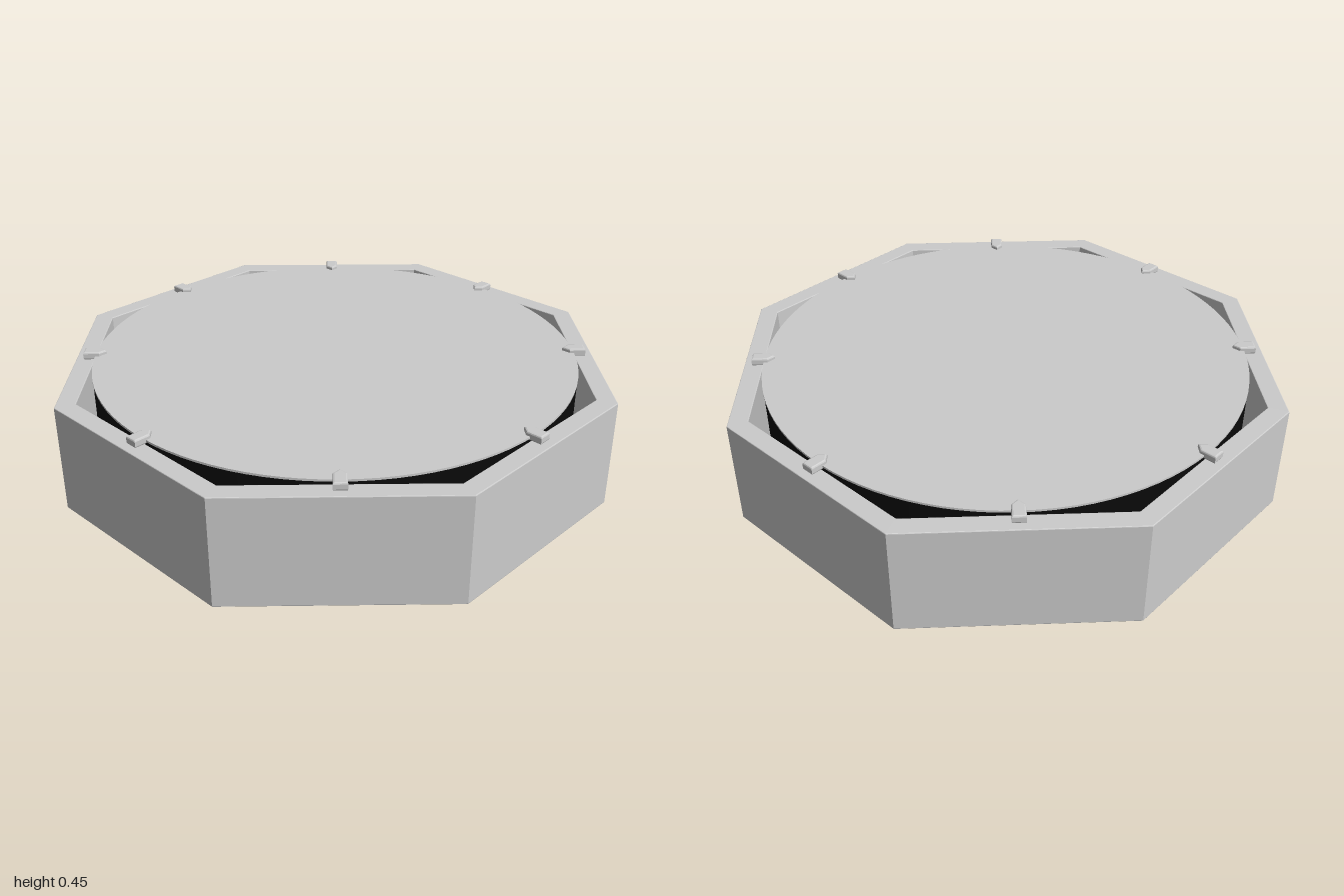
import * as THREE from 'three';

const grey = new THREE.MeshStandardMaterial({ color: 0xcccccc });
const greyThin = new THREE.MeshStandardMaterial({ color: 0xcccccc, side: THREE.DoubleSide });
const black = new THREE.MeshStandardMaterial({ color: 0x0a0a0a, side: THREE.DoubleSide });

const SIDES = 8;
const FRAME_HEIGHT = 0.42;
const DRUM_RADIUS = 0.926;

// Corners of an octagon with flat sides facing the axes
function octagon(apothem) {
  const r = apothem / Math.cos(Math.PI / SIDES);
  return Array.from({ length: SIDES }, (_, i) => {
    const a = ((i + 0.5) / SIDES) * Math.PI * 2;
    return new THREE.Vector2(r * Math.cos(a), r * Math.sin(a));
  });
}

// Extrudes a floor-plan shape upward from y = 0, with a fine chamfer inside its outline
function extrudeUp(shape, height, chamfer) {
  return new THREE.ExtrudeGeometry(shape, {
    depth: height - 2 * chamfer,
    bevelSize: chamfer,
    bevelOffset: -chamfer,
    bevelThickness: chamfer,
    bevelSegments: 2,
  }).rotateX(-Math.PI / 2).translate(0, chamfer, 0);
}

function addMesh(parent, name, geometry, material, y = 0) {
  const mesh = new THREE.Mesh(geometry, material);
  mesh.name = name;
  mesh.position.y = y;
  parent.add(mesh);
  return mesh;
}

export function createModel() {
  const model = new THREE.Group();
  model.name = 'octagonalDrum';

  // Octagonal outer frame, open through the middle
  const frame = new THREE.Shape(octagon(1));
  frame.holes.push(new THREE.Path(octagon(0.928)));
  addMesh(model, 'frame', extrudeUp(frame, FRAME_HEIGHT, 0.003), grey);

  // Dark round shell hanging inside the frame
  const shell = new THREE.CylinderGeometry(DRUM_RADIUS - 0.002, DRUM_RADIUS - 0.002, 0.388, 96, 1, true);
  addMesh(model, 'shell', shell, black, 0.234);

  // Light hoop around the bottom of the shell
  const hoop = new THREE.CylinderGeometry(DRUM_RADIUS, DRUM_RADIUS, 0.08, 96, 1, true);
  addMesh(model, 'bottomHoop', hoop, greyThin, 0.06);

  // Flat upper skin
  const topSkin = new THREE.CylinderGeometry(DRUM_RADIUS, DRUM_RADIUS, 0.008, 96);
  addMesh(model, 'topSkin', topSkin, grey, 0.431);

  // Lower skin, hollowed upward toward the middle
  const hollow = [];
  for (let i = 0; i <= 16; i++) {
    const t = i / 16;
    hollow.push(new THREE.Vector2(0.922 * t, 0.15 * (1 - t * t)));
  }
  addMesh(model, 'bottomSkin', new THREE.LatheGeometry(hollow, 96), greyThin, 0.065);

  // Pointed clips holding the skin, one per side of the frame
  const clip = new THREE.Shape();
  clip.moveTo(0.97, -0.024);
  clip.lineTo(0.97, 0.024);
  clip.lineTo(0.909, 0.024);
  clip.lineTo(0.884, 0);
  clip.lineTo(0.909, -0.024);
  clip.closePath();
  const clipGeometry = extrudeUp(clip, 0.03, 0.006);
  const clips = new THREE.Group();
  clips.name = 'clips';
  for (let i = 0; i < SIDES; i++) {
    const mesh = addMesh(clips, 'clip', clipGeometry, grey, 0.42);
    mesh.rotation.y = (i / SIDES) * Math.PI * 2;
  }
  model.add(clips);

  return model;
}
